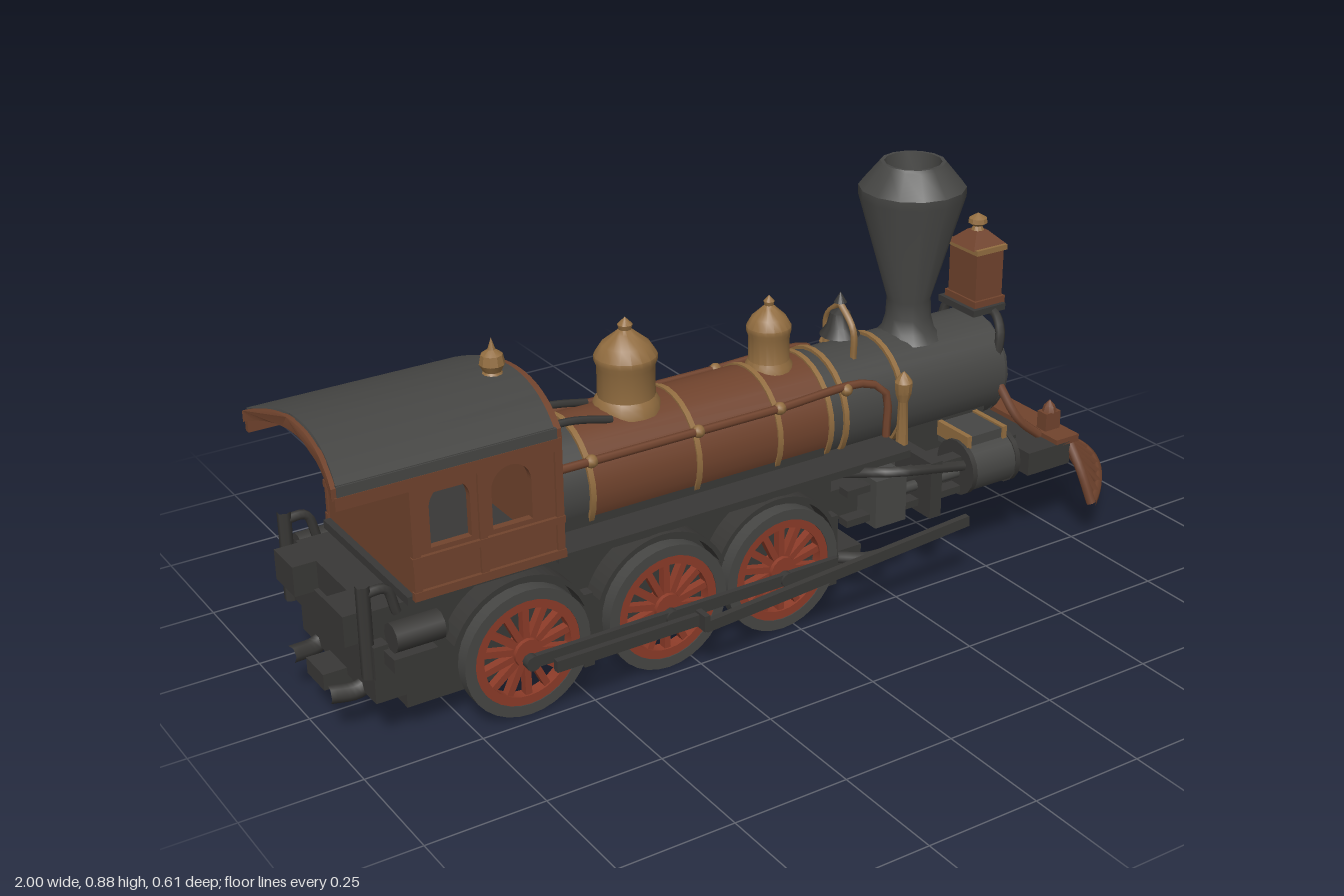
import * as THREE from 'three';
import { toCreasedNormals } from 'three/addons/utils/BufferGeometryUtils.js';

const paint = (name, color) => {
  const m = new THREE.MeshStandardMaterial({ color });
  m.name = name;
  return m;
};

export function createModel() {
  const root = new THREE.Group();
  root.name = 'steamLocomotive';
  const iron = paint('iron grey', 0x464644);
  const dark = paint('dark iron', 0x393836);
  const copper = paint('copper brown', 0x70432d);
  const brass = paint('aged brass', 0x926d40);
  const red = paint('wheel red', 0x8c3b28);

  // helpers
  const add = (name, geo, mat, x = 0, y = 0, z = 0, parent = root) => {
    const m = new THREE.Mesh(geo, mat);
    m.name = name;
    m.position.set(x, y, z);
    parent.add(m);
    return m;
  };
  // box given by its lower and upper limits
  const box = (name, mat, x0, x1, y0, y1, z0, z1) =>
    add(name, new THREE.BoxGeometry(x1 - x0, y1 - y0, Math.abs(z1 - z0)), mat, (x0 + x1) / 2, (y0 + y1) / 2, (z0 + z1) / 2);
  // cylinder lying along x
  const barrel = (name, mat, x0, x1, y, z, r0, r1 = r0, seg = 28) =>
    add(name, new THREE.CylinderGeometry(r1, r0, x1 - x0, seg).rotateZ(-Math.PI / 2), mat, (x0 + x1) / 2, y, z);
  const tube = (name, mat, pts, r, seg = 12) =>
    add(name, new THREE.TubeGeometry(new THREE.CatmullRomCurve3(pts.map(p => new THREE.Vector3(...p))), seg, r, 6), mat);
  const lathe = (name, mat, pts, x, y, z = 0, seg = 18) =>
    add(name, toCreasedNormals(new THREE.LatheGeometry(pts.map(p => new THREE.Vector2(...p)), seg), 0.6), mat, x, y, z);
  const extrude = (shape, depth, curveSegments = 12) =>
    new THREE.ExtrudeGeometry(shape, { depth, bevelEnabled: false, curveSegments });
  const sides = fn => [1, -1].forEach(fn);

  // boiler, cladding, bands
  const BY = 0.378;
  barrel('fireboxShell', iron, -0.54, -0.42, BY, 0, 0.122);
  barrel('boilerCladding', copper, -0.42, 0.16, BY, 0, 0.125);
  barrel('smokebox', iron, 0.16, 0.64, BY, 0, 0.122);
  barrel('smokeboxRim', iron, 0.63, 0.655, BY - 0.003, 0, 0.122, 0.112, 16);
  barrel('smokeboxDoor', iron, 0.655, 0.675, BY, 0, 0.09, 0.07, 12);
  barrel('doorBoss', copper, 0.672, 0.69, BY + 0.008, 0, 0.036, 0.022, 10);
  for (const x of [-0.42, -0.17, 0.03, 0.16, 0.2, 0.35]) barrel('boilerBand', brass, x - 0.006, x + 0.006, BY, 0, 0.129);
  box('ashpan', dark, -0.54, 0.15, 0.22, 0.34, -0.115, 0.115);
  box('smokeboxSaddle', dark, 0.36, 0.6, 0.2, 0.31, -0.1, 0.1);

  // flared chimney, hollow at the top
  lathe('chimney', iron, [[0.075, 0], [0.058, 0.02], [0.05, 0.05], [0.048, 0.09], [0.116, 0.325],
    [0.116, 0.345], [0.076, 0.393], [0.07, 0.4], [0.062, 0.4], [0.055, 0.33], [0, 0.32]], 0.455, 0.48, 0, 14);
  // domes, bell, whistle
  const dome = (name, x, r, h) => lathe(name, brass, [[r * 1.1, 0], [r * 1.05, h * 0.1], [r * 0.92, h * 0.16], [r * 0.92, h * 0.48],
    [r, h * 0.54], [r, h * 0.6], [r * 0.76, h * 0.72], [r * 0.34, h * 0.83], [r * 0.2, h * 0.87], [r * 0.24, h * 0.92], [0, h]], x, 0.485);
  dome('sandDome', -0.265, 0.065, 0.2);
  dome('steamDome', 0.085, 0.048, 0.17);
  lathe('bell', dark, [[0, 0], [0.044, 0], [0.03, 0.02], [0.022, 0.05], [0, 0.062]], 0.27, 0.525);
  sides(s => tube('bellFrame', brass, [[0.27, 0.48, s * 0.05], [0.27, 0.55, s * 0.047], [0.27, 0.595, 0]], 0.008));
  lathe('bellFinial', dark, [[0, 0], [0.014, 0.006], [0, 0.03]], 0.27, 0.592);
  lathe('roofWhistle', brass, [[0.028, 0], [0.018, 0.015], [0.026, 0.03], [0.022, 0.05], [0.008, 0.06], [0, 0.085]], -0.565, 0.625, 0, 10);

  // headlamp on its bracket
  box('lampShelf', dark, 0.59, 0.68, 0.51, 0.525, -0.062, 0.062);
  tube('lampBracket', dark, [[0.63, 0.42, 0.1], [0.64, 0.48, 0.095], [0.65, 0.51, 0.06], [0.65, 0.5, 0], [0.65, 0.51, -0.06],
    [0.64, 0.48, -0.095], [0.63, 0.42, -0.1]], 0.011, 24);
  box('lampBase', copper, 0.6, 0.685, 0.522, 0.54, -0.053, 0.053);
  box('lampCase', copper, 0.605, 0.68, 0.54, 0.65, -0.047, 0.047);
  box('lampCornice', brass, 0.6, 0.685, 0.648, 0.66, -0.053, 0.053);
  const lampRoof = new THREE.CylinderGeometry(0.022, 0.066, 0.03, 4).rotateY(Math.PI / 4);
  add('lampRoof', toCreasedNormals(lampRoof, 0.3), copper, 0.642, 0.673);
  lathe('lampFinial', brass, [[0.016, 0], [0.01, 0.012], [0.022, 0.02], [0.02, 0.03], [0, 0.042]], 0.642, 0.685, 0, 10);
  add('lampLens', new THREE.SphereGeometry(1, 12, 8).scale(0.022, 0.043, 0.028), iron, 0.688, 0.592);

  // cab walls with arched windows
  const arch = (cx, y0, w, h) => {
    const p = new THREE.Path(), r = w / 2;
    p.moveTo(cx - r, y0).lineTo(cx + r, y0).lineTo(cx + r, y0 + h - r);
    p.absarc(cx, y0 + h - r, r, 0, Math.PI, false);
    return p.lineTo(cx - r, y0);
  };
  const roofY = z => 0.63 - 0.045 * (z / 0.205) ** 2;
  const sideWall = new THREE.Shape();
  sideWall.moveTo(-0.845, 0.315).lineTo(-0.53, 0.315).lineTo(-0.53, 0.575).lineTo(-0.845, 0.575);
  sideWall.holes.push(arch(-0.765, 0.41, 0.085, 0.125), arch(-0.635, 0.41, 0.085, 0.125));
  sides(s => {
    add('cabSideWall', extrude(sideWall, 0.016), copper, 0, 0, s > 0 ? 0.178 : -0.194);
    box('cabSill', copper, -0.85, -0.525, 0.385, 0.4, s * 0.19, s * 0.202);
    box('cabSkirt', copper, -0.85, -0.525, 0.31, 0.328, s * 0.19, s * 0.202);
    for (const x of [-0.84, -0.7, -0.535]) box('cabPillar', copper, x - 0.008, x + 0.008, 0.315, 0.57, s * 0.19, s * 0.2);
  });
  const endWall = () => {
    const sh = new THREE.Shape();
    sh.moveTo(-0.178, 0.315).lineTo(0.178, 0.315);
    for (let i = 8; i >= -8; i--) sh.lineTo(i * 0.178 / 8, roofY(i * 0.178 / 8) - 0.02);
    return sh;
  };
  const frontWall = endWall();
  sides(s => frontWall.holes.push(arch(s * 0.135, 0.38, 0.05, 0.15)));
  add('cabFrontWall', extrude(frontWall, 0.016).rotateY(Math.PI / 2), copper, -0.546);
  add('cabRearWall', extrude(endWall(), 0.016).rotateY(Math.PI / 2), copper, -0.845);
  box('cabFloor', dark, -0.86, -0.53, 0.3, 0.318, -0.19, 0.19);
  tube('reverserLever', dark, [[-0.64, 0.32, 0.06], [-0.63, 0.44, 0.06], [-0.61, 0.53, 0.06]], 0.012);

  // arched roof: ends bow forward in the middle
  const roofSlab = (name, mat, w, up, down, x0, x1) => {
    const sh = new THREE.Shape();
    for (let i = -10; i <= 10; i++) sh[i === -10 ? 'moveTo' : 'lineTo'](i * w / 10, roofY(i * w / 10) + up);
    for (let i = 10; i >= -10; i--) sh.lineTo(i * w / 10, roofY(i * w / 10) - down);
    const g = extrude(sh, x1 - x0).rotateY(Math.PI / 2), p = g.attributes.position;
    for (let i = 0; i < p.count; i++) p.setX(i, p.getX(i) + 0.025 * (1 - (p.getZ(i) / w) ** 2));
    add(name, toCreasedNormals(g, 0.6), mat, x0);
  };
  roofSlab('roofSheet', iron, 0.203, 0.006, 0.002, -0.99, -0.545);
  roofSlab('roofTrim', copper, 0.204, 0.002, 0.022, -1, -0.53);
  sides(s => {
    box('roofEdge', iron, -0.99, -0.54, 0.568, 0.59, s * 0.194, s * 0.206);
    box('roofEave', copper, -0.995, -0.532, 0.543, 0.569, s * 0.194, s * 0.207);
  });

  // frame and under parts
  box('mainFrame', dark, -0.86, 0.14, 0.06, 0.3, -0.155, 0.155);
  box('frontFrame', dark, 0.14, 0.66, 0.168, 0.24, -0.145, 0.145);
  box('underTray', dark, 0.04, 0.22, 0.05, 0.1, -0.16, 0.16);
  box('rearFrame', dark, -0.93, -0.77, 0.1, 0.3, -0.17, 0.17);
  for (const x of [-0.47, -0.18, 0.13]) {
    box('brakeBeam', dark, x - 0.012, x + 0.012, 0.045, 0.07, -0.17, 0.17);
    sides(s => {
      box('brakeHanger', dark, x - 0.012, x + 0.012, 0.035, 0.2, s * 0.15, s * 0.18);
      box('brakeShoe', copper, x - 0.016, x + 0.016, 0.03, 0.05, s * 0.115, s * 0.15);
    });
  }

  // driving wheels with spokes, tyres, guards
  const ring = (ro, ri, depth) => {
    const sh = new THREE.Shape().absarc(0, 0, ro, 0, Math.PI * 2);
    sh.holes.push(new THREE.Path().absarc(0, 0, ri, 0, Math.PI * 2));
    return toCreasedNormals(extrude(sh, depth, 16).translate(0, 0, -depth / 2), 0.6);
  };
  const tyre = ring(0.138, 0.115, 0.03), felloe = ring(0.116, 0.096, 0.026);
  const hub = new THREE.CylinderGeometry(0.03, 0.034, 0.034, 14).rotateX(Math.PI / 2);
  const spoke = new THREE.BoxGeometry(0.014, 0.085, 0.018).translate(0, 0.06, 0);
  const guard = new THREE.Shape().absarc(0, 0, 0.157, 0.35, Math.PI - 0.35, false);
  guard.absarc(0, 0, 0.147, Math.PI - 0.35, 0.35, true);
  const guardGeo = extrude(guard, 0.05, 12);
  const wheelX = [-0.63, -0.31, -0.03];
  sides(s => wheelX.forEach(x => {
    const w = new THREE.Group();
    w.name = 'drivingWheel';
    w.position.set(x, 0.14, s * 0.21);
    root.add(w);
    add('tyre', tyre, iron, 0, 0, 0, w);
    add('felloe', felloe, red, 0, 0, 0, w);
    add('hub', hub, red, 0, 0, 0, w);
    for (let i = 0; i < 14; i++) add('spoke', spoke, red, 0, 0, 0, w).rotation.z = i * Math.PI / 7;
    add('wheelGuard', guardGeo, dark, x, 0.14, s > 0 ? 0.155 : -0.205);
  }));

  sides(s => {
    // rods and motion
    box('runningBoard', dark, -0.54, 0.32, 0.295, 0.312, s * 0.1, s * 0.195);
    box('couplingRod', dark, -0.63, 0.1, 0.112, 0.138, s * 0.228, s * 0.24);
    box('rearSideBar', dark, -0.6, -0.27, 0.115, 0.14, s * 0.27, s * 0.284);
    box('rodBracket', dark, -0.275, -0.262, 0.11, 0.145, s * 0.27, s * 0.305);
    const rod = add('mainRod', new THREE.BoxGeometry(0.67, 0.024, 0.014), dark, 0.065, 0.143, s * 0.298);
    rod.rotation.z = 0.07;
    wheelX.forEach(x => add('crankPin', new THREE.CylinderGeometry(0.016, 0.016, 0.03, 10).rotateX(Math.PI / 2), dark, x, 0.125, s * 0.23));
    for (const y of [0.185, 0.255]) box('slideBar', dark, 0.14, 0.46, y, y + 0.016, s * 0.185, s * 0.215);
    box('crosshead', iron, 0.2, 0.28, 0.175, 0.285, s * 0.17, s * 0.235);
    box('motionBracket', dark, 0.33, 0.36, 0.17, 0.3, s * 0.13, s * 0.255);
    barrel('pistonRod', iron, 0.26, 0.46, 0.228, s * 0.2, 0.012, 0.012, 8);
    tube('valveLink', dark, [[0.17, 0.28, s * 0.15], [0.24, 0.3, s * 0.24], [0.42, 0.27, s * 0.25]], 0.012);
    tube('drainPipe', dark, [[0.14, 0.1, s * 0.18], [0.2, 0.09, s * 0.2], [0.25, 0.085, s * 0.2]], 0.014);
    // steam cylinder and valve chest with brass trim
    barrel('steamCylinder', iron, 0.45, 0.57, 0.238, s * 0.195, 0.06, 0.06, 16);
    for (const x of [0.445, 0.565]) barrel('cylinderCover', dark, x, x + 0.012, 0.238, s * 0.195, 0.063, 0.063, 16);
    box('valveChest', iron, 0.455, 0.56, 0.27, 0.314, s * 0.12, s * 0.22);
    for (const x of [0.452, 0.55]) box('chestBand', brass, x, x + 0.012, 0.285, 0.318, s * 0.12, s * 0.224);
    // pipework and brass fittings
    tube('handrail', copper, [[-0.53, 0.455, s * 0.122], [0.0, 0.455, s * 0.122], [0.26, 0.455, s * 0.122],
      [0.295, 0.43, s * 0.135], [0.295, 0.33, s * 0.14]], 0.009, 28);
    for (const x of [-0.42, -0.17, 0.03, 0.2]) add('railKnob', new THREE.SphereGeometry(0.014, 8, 6), brass, x, 0.455, s * 0.122);
    tube('topPipe', dark, [[-0.53, 0.51, s * 0.045], [-0.42, 0.512, s * 0.045], [-0.33, 0.495, s * 0.05]], 0.008);
    lathe('checkValve', brass, [[0.014, 0], [0.011, 0.1], [0.018, 0.12], [0.02, 0.145], [0.01, 0.16], [0, 0.17]], 0.34, 0.3, s * 0.138, 10);
    tube('frontStay', copper, [[0.63, 0.36, s * 0.11], [0.66, 0.28, s * 0.15], [0.71, 0.235, s * 0.165]], 0.011);
    box('stayFoot', copper, 0.72, 0.762, 0.243, 0.285, s * 0.145, s * 0.175);
    lathe('stayCap', copper, [[0.017, 0], [0.012, 0.015], [0, 0.028]], 0.741, 0.284, s * 0.16, 8);
    // rear fittings
    box('rearStep', dark, -0.92, -0.83, 0.2, 0.23, s * 0.17, s * 0.245);
    barrel('rearReservoir', dark, -0.91, -0.81, 0.26, s * 0.215, 0.03, 0.03, 10);
    box('rearBox', dark, -0.98, -0.92, 0.235, 0.3, s * 0.07, s * 0.16);
    tube('rearStandpipe', dark, [[-0.945, 0.17, s * 0.18], [-0.945, 0.28, s * 0.18], [-0.945, 0.365, s * 0.18]], 0.014);
    tube('rearGrab', dark, [[-0.95, 0.345, s * 0.18], [-0.9, 0.345, s * 0.18], [-0.88, 0.29, s * 0.18]], 0.01);
    tube('rearHose', dark, [[-0.87, 0.15, s * 0.1], [-0.93, 0.1, s * 0.1], [-0.99, 0.1, s * 0.09]], 0.018);
  });
  box('rearCoupler', dark, -0.98, -0.85, 0.08, 0.115, -0.04, 0.04);
  box('rearBeam', dark, -0.94, -0.91, 0.17, 0.24, -0.2, 0.2);

  // front beam and pilot
  box('frontBeam', dark, 0.63, 0.75, 0.178, 0.232, -0.225, 0.225);
  box('pilotTopBar', copper, 0.71, 0.775, 0.226, 0.243, -0.225, 0.225);
  box('pilotBackPlate', copper, 0.75, 0.762, 0.15, 0.23, -0.1, 0.1);
  const foot = t => [0.78 + 0.205 * (1 - Math.abs(t) ** 1.7), 0.076 + 0.014 * t * t, t * 0.275];
  const rim = [];
  for (let i = -8; i <= 8; i++) rim.push(foot(i / 8));
  tube('pilotBottomRail', copper, rim, 0.012, 40);
  for (let i = 0; i < 15; i++) {
    const t = i / 7 - 1, b = foot(t), top = [0.755, 0.232, t * 0.21];
    const mid = [top[0] * 0.55 + b[0] * 0.45, 0.163, top[2] * 0.4 + b[2] * 0.6];
    tube('pilotSlat', copper, [top, mid, b], 0.0115, 8);
  }
  tube('pilotBrace', dark, [[0.73, 0.18, -0.18], [0.82, 0.14, 0], [0.73, 0.18, 0.18]], 0.012);

  return root;
}
